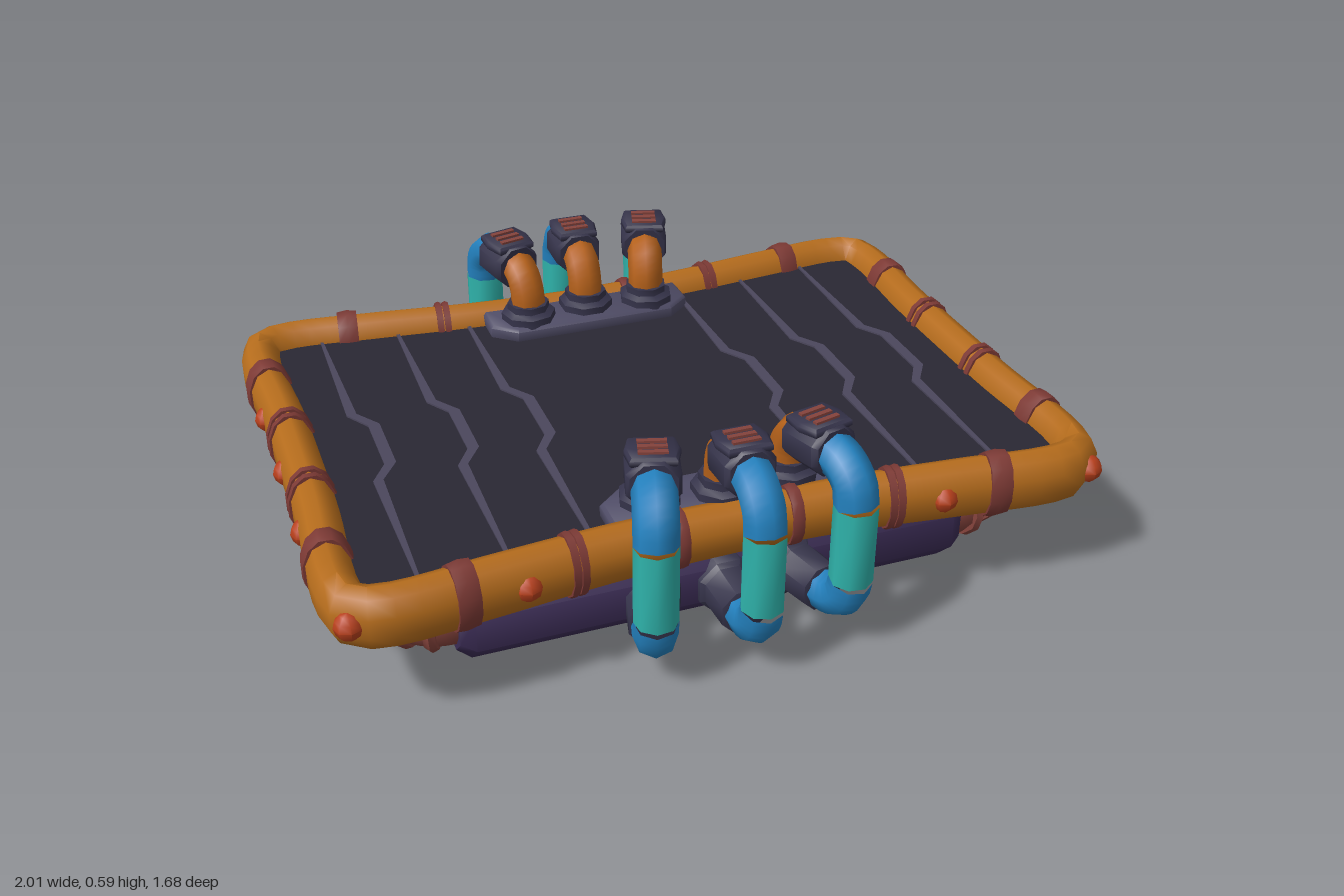
import * as THREE from 'three';
import { toCreasedNormals } from 'three/addons/utils/BufferGeometryUtils.js';

const mat = (color) => new THREE.MeshStandardMaterial({ color });
const M = {
  frame: mat(0xb56c1c), band: mat(0x7d3a35), rivet: mat(0xb8401c), deck: mat(0x2a2733),
  ridge: mat(0x4b475c), under: mat(0x4a1f0c), beam: mat(0x3b2c55), dark: mat(0x35334a),
  plate: mat(0x4f4c66), pipe: mat(0x85433c), teal: mat(0x2fb3ab), blue: mat(0x2380bd), elbow: mat(0xb5611a),
};
const V = (x, y, z) => new THREE.Vector3(x, y, z);

function add(parent, name, geo, material, x = 0, y = 0, z = 0, crease = 0.9) {
  const m = new THREE.Mesh(toCreasedNormals(geo, crease), material);
  m.name = name;
  m.position.set(x, y, z);
  parent.add(m);
  return m;
}
function group(parent, name, x = 0, y = 0, z = 0, ry = 0) {
  const g = new THREE.Group();
  g.name = name;
  g.position.set(x, y, z);
  g.rotation.y = ry;
  parent.add(g);
  return g;
}
// Turned solid along +z from [radius, z] pairs
function turned(profile, sides = 8) {
  const g = new THREE.LatheGeometry(profile.map(([r, z]) => new THREE.Vector2(r, z)), sides, Math.PI / sides);
  return g.rotateX(Math.PI / 2);
}
const tube = (pts, r, n = 10, sides = 8) =>
  new THREE.TubeGeometry(new THREE.CatmullRomCurve3(pts), n, r, sides, false);
// Flat outline in x/z, thickened upwards from y = 0
function slab(outline, h, bevel = 0) {
  const s = new THREE.Shape(outline.map(([x, z]) => new THREE.Vector2(x, -z)));
  return new THREE.ExtrudeGeometry(s, {
    depth: h, bevelEnabled: bevel > 0, bevelSize: bevel, bevelThickness: bevel, bevelSegments: 1,
  }).rotateX(-Math.PI / 2);
}

// Closed outline of the rim, waisted along the front and back
function rimCurve() {
  const q = [[0.93, 0], [0.932, 0.25], [0.945, 0.55], [0.925, 0.64], [0.85, 0.665], [0.6, 0.642], [0.3, 0.612], [0, 0.605]];
  const half = [...q, ...q.slice(1, -1).reverse().map(([x, z]) => [-x, z])];
  const all = [...half, ...half.map(([x, z]) => [-x, -z])];
  return new THREE.CatmullRomCurve3(all.map(([x, z]) => V(x, 0, z)), true);
}
const rimHeight = (x) => 1.27 + 0.2 * Math.min(1, Math.abs(x) / 0.6);

function buildRim(root, curve) {
  const rim = group(root, 'rim', 0, 0.322, 0);
  const g = new THREE.TubeGeometry(curve, 120, 0.055, 10, true);
  const p = g.attributes.position;
  for (let i = 0; i < p.count; i++) p.setY(i, p.getY(i) * rimHeight(p.getX(i)));
  g.computeVertexNormals();
  add(rim, 'rimTube', g, M.frame);

  const samples = Array.from({ length: 600 }, (_, i) => i / 600);
  const at = (x, z) => {
    const t = V(x, 0, z);
    const d = (u) => curve.getPointAt(u).distanceTo(t);
    const u = samples.map((s) => [d(s), s]).reduce((a, b) => (b[0] < a[0] ? b : a))[1];
    return { p: curve.getPointAt(u), t: curve.getTangentAt(u) };
  };
  const band = (x, z, w) => {
    const { p: c, t } = at(x, z);
    const k = 0.06, prof = [[k - 0.01, -w / 2], [k, -w / 2], [k + 0.003, 0], [k, w / 2], [k - 0.01, w / 2]];
    const b = add(rim, 'rimBand', turned(prof, 12), M.band, c.x, 0, c.z);
    b.rotation.y = Math.atan2(t.x, t.z);
    b.scale.y = rimHeight(c.x);
  };
  const rivet = (x, z) => {
    const { p: c, t } = at(x, z);
    const n = V(t.z, 0, -t.x);
    if (n.dot(c) < 0) n.negate();
    c.addScaledVector(n, 0.036);
    add(rim, 'rimRivet', new THREE.SphereGeometry(0.036, 8, 6), M.rivet, c.x, 0, c.z);
  };
  for (const s of [1, -1]) {
    for (const k of [1, -1]) {
      for (const [x, w] of [[0.15, 0.03], [0.4, 0.018], [0.42, 0.018], [0.68, 0.055]]) band(k * x, s * 0.64, w);
      for (const [z, w] of [[0.142, 0.018], [0.164, 0.018], [0.43, 0.055]]) band(s * 0.93, k * z, w);
      rivet(k * 0.54, s * 0.64);
      rivet(s * 0.93, k * 0.285);
      rivet(k * 0.925, s * 0.66);
    }
    rivet(s * 0.93, 0);
  }
}

function buildDeck(root, curve) {
  const outline = curve.getPoints(100).slice(0, -1).map((p) => [p.x, p.z]);
  add(root, 'deck', slab(outline, 0.07), M.deck, 0, 0.275, 0);
  add(root, 'underside', slab(outline, 0.015), M.under, 0, 0.26, 0);
  // Stepped ridges, thinning out to the ends
  const path = [[0, -0.62, 0.004], [0, -0.18, 0.013], [0.045, -0.11, 0.015],
    [0.045, 0.09, 0.015], [0, 0.16, 0.013], [0, 0.62, 0.004]];
  for (const x of [-0.765, -0.55, -0.345, 0.3, 0.515, 0.725]) {
    const pts = [...path.map(([a, z, w]) => [a - w, z]), ...path.slice().reverse().map(([a, z, w]) => [a + w, z])];
    add(root, 'deckRidge', slab(pts, 0.006), M.ridge, x, 0.344, 0);
  }
}

// One looped hose with collars and a clamp, running outwards along +z
function buildHose(parent, x, z, ry) {
  const h = group(parent, 'hose', x, 0, z, ry);
  const path = (...a) => a.map(([d, y]) => V(0, y, d));
  const collar = turned([[0, 0], [0.078, 0], [0.078, 0.025], [0.06, 0.035], [0.06, 0.055], [0, 0.055]]);
  add(h, 'deckCollar', collar.rotateX(-Math.PI / 2), M.dark, 0, 0.375, 0);
  add(h, 'hoseElbow', tube(path([0, 0.41], [0.003, 0.46], [0.03, 0.508], [0.08, 0.522]), 0.05), M.elbow);
  add(h, 'hoseUpperBend', tube(path([0.15, 0.522], [0.2, 0.513], [0.243, 0.475], [0.255, 0.42]), 0.054), M.blue);
  add(h, 'hoseStraight', tube(path([0.255, 0.42], [0.255, 0.21]), 0.054, 1), M.teal);
  add(h, 'hoseLowerBend', tube(path([0.255, 0.21], [0.243, 0.165], [0.205, 0.133], [0.14, 0.125]), 0.054), M.blue);
  add(h, 'lowerCollar', turned([[0, -0.06], [0.08, -0.06], [0.08, 0.05], [0.068, 0.06], [0.064, 0.16], [0.05, 0.165], [0, 0.165]]),
    M.dark, 0, 0.125, 0);
  const c = group(h, 'clamp', 0, 0.522, 0.11);
  c.rotation.x = -0.06;
  add(c, 'clampBody', turned([[0.045, -0.065], [0.064, -0.065], [0.07, -0.045], [0.07, 0.05], [0.06, 0.065], [0.045, 0.065]]), M.dark);
  add(c, 'clampPlate', slab([[-0.05, -0.05], [0.05, -0.05], [0.06, 0], [0.05, 0.05], [-0.05, 0.05], [-0.06, 0]], 0.012, 0.006),
    M.dark, 0, 0.05, 0);
  for (const k of [-1, 0, 1]) add(c, 'clampBar', new THREE.BoxGeometry(0.07, 0.01, 0.014), M.pipe, 0, 0.069, k * 0.027);
}

// Front half: hoses, their mounting plate and the long lower beam
function buildEnd(root, ry) {
  const e = group(root, 'endAssembly', 0, 0, 0, ry);
  add(e, 'hosePlate', slab([[-0.29, 0.6], [-0.29, 0.49], [-0.23, 0.44], [0.23, 0.44], [0.29, 0.49], [0.29, 0.6]], 0.03, 0.008),
    M.plate, 0, 0.342, 0);
  buildHose(e, -0.18, 0.51, -0.29);
  buildHose(e, 0, 0.53, 0);
  buildHose(e, 0.18, 0.51, 0.25);
  const beam = turned([[0, -0.67], [0.095, -0.67], [0.122, -0.635], [0.122, 0.635], [0.095, 0.67], [0, 0.67]]);
  add(e, 'lowerBeam', beam.rotateY(Math.PI / 2), M.beam, 0, 0.13, 0.455);
}

// Side half: bowed housings, linking pipes and vents
function buildSide(root, ry) {
  const s = group(root, 'sideAssembly', 0, 0.13, 0, ry);
  add(s, 'middlePipe', tube([V(0.835, 0, -0.1), V(0.835, 0, 0.1)], 0.085, 1, 10), M.pipe);
  for (const k of [1, -1]) {
    const pts = [V(0.63, 0, 0.455 * k), V(0.71, 0, 0.448 * k), V(0.77, 0, 0.4 * k), V(0.795, 0, 0.31 * k)];
    const curve = new THREE.CatmullRomCurve3(pts);
    add(s, 'cornerPipe', tube(pts, 0.078, 12, 10), M.pipe);
    for (const u of [0.32, 0.52, 0.72]) {
      const p = curve.getPointAt(u), t = curve.getTangentAt(u);
      const ring = add(s, 'cornerRib', new THREE.TorusGeometry(0.076, 0.018, 6, 12), M.pipe, p.x, 0, p.z);
      ring.rotation.y = Math.atan2(t.x, t.z);
    }
    // Housing widens towards the middle of the side
    const h = group(s, 'sideHousing', 0.815, 0, 0.205 * k, Math.atan2(-0.04, 0.28) * k);
    const prof = [[0, -0.145], [0.11, -0.145], [0.128, -0.125], [0.108, 0.125], [0.09, 0.145], [0, 0.145]];
    const body = turned(k > 0 ? prof : prof.map(([r, z]) => [r, -z]).reverse());
    add(h, 'housingBody', body, M.beam);
    const v = group(h, 'vent', 0.105, 0.005, 0);
    v.rotation.y = 0.08 * k;
    const oct = [[-0.085, -0.055], [-0.06, -0.08], [0.06, -0.08], [0.085, -0.055],
      [0.085, 0.055], [0.06, 0.08], [-0.06, 0.08], [-0.085, 0.055]];
    add(v, 'ventPlate', slab(oct, 0.014, 0.007).rotateZ(-Math.PI / 2), M.dark);
    for (const z of [-0.038, 0, 0.038]) add(v, 'ventBar', new THREE.BoxGeometry(0.012, 0.1, 0.02), M.pipe, 0.023, 0, z);
  }
}

export function createModel() {
  const root = new THREE.Group();
  root.name = 'platform';
  const curve = rimCurve();
  buildRim(root, curve);
  buildDeck(root, curve);
  for (const ry of [0, Math.PI]) {
    buildEnd(root, ry);
    buildSide(root, ry);
  }
  return root;
}
